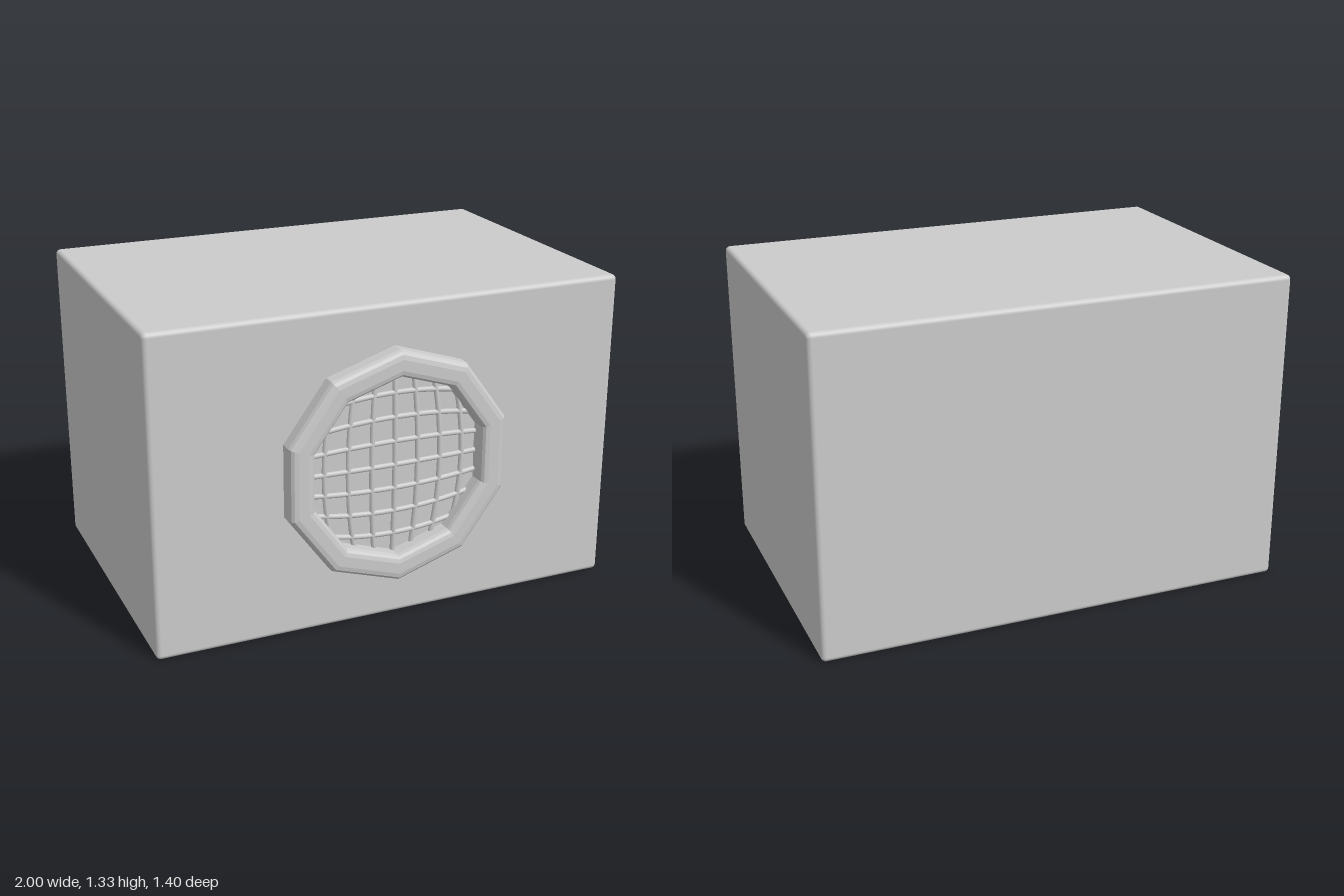
import * as THREE from 'three';
import { RoundedBoxGeometry } from 'three/addons/geometries/RoundedBoxGeometry.js';

const FRONT = 0.62, CENTRE_Y = 0.67;

export function createModel() {
  const group = new THREE.Group();
  const smooth = new THREE.MeshStandardMaterial({ color: 0xcccccc });
  const faceted = new THREE.MeshStandardMaterial({ color: 0xcccccc, flatShading: true });
  const add = (parent, name, geometry, material) => {
    const mesh = new THREE.Mesh(geometry, material);
    mesh.name = name;
    parent.add(mesh);
    return mesh;
  };

  // Cabinet: softly rounded box
  const cabinet = add(group, 'cabinet', new RoundedBoxGeometry(2, 1.33, 1.32, 4, 0.02), smooth);
  cabinet.position.set(0, 0.665, -0.04);

  // Speaker assembly on the front face
  const speaker = new THREE.Group();
  speaker.name = 'speaker';
  speaker.position.set(0, CENTRE_Y, FRONT);
  group.add(speaker);

  // Ten-sided rim with rounded front edges
  const rim = [
    [0.49, -0.01], [0.49, 0.05], [0.485, 0.066], [0.474, 0.076], [0.455, 0.08],
    [0.41, 0.08], [0.393, 0.076], [0.384, 0.066], [0.38, 0.05], [0.38, -0.01],
  ].map(([r, z]) => new THREE.Vector2(r, z));
  add(speaker, 'speakerRim', new THREE.LatheGeometry(rim, 10).rotateX(Math.PI / 2), faceted);

  // Grille: bars bowed outward like lines on a shallow dome
  const grille = new THREE.Group();
  grille.name = 'grille';
  speaker.add(grille);
  const reach = 0.385, spacing = 0.1, dome = 0.65;
  const barPoint = (offset, t, vertical) => {
    const bowed = offset * Math.sqrt(1 - (t / dome) ** 2);
    const z = 0.004 + 0.014 * (1 - (t * t + bowed * bowed) / reach ** 2);
    return vertical ? new THREE.Vector3(bowed, t, z) : new THREE.Vector3(t, bowed, z);
  };
  for (const vertical of [true, false]) {
    for (let i = -3; i <= 3; i++) {
      const offset = i * spacing;
      const half = Math.sqrt(reach ** 2 - (offset * 0.95) ** 2);
      const points = [];
      for (let k = 0; k <= 8; k++) points.push(barPoint(offset, half * (k / 4 - 1), vertical));
      const curve = new THREE.CatmullRomCurve3(points);
      add(grille, vertical ? 'verticalBar' : 'horizontalBar',
        new THREE.TubeGeometry(curve, 24, 0.011, 8), smooth);
    }
  }
  return group;
}
